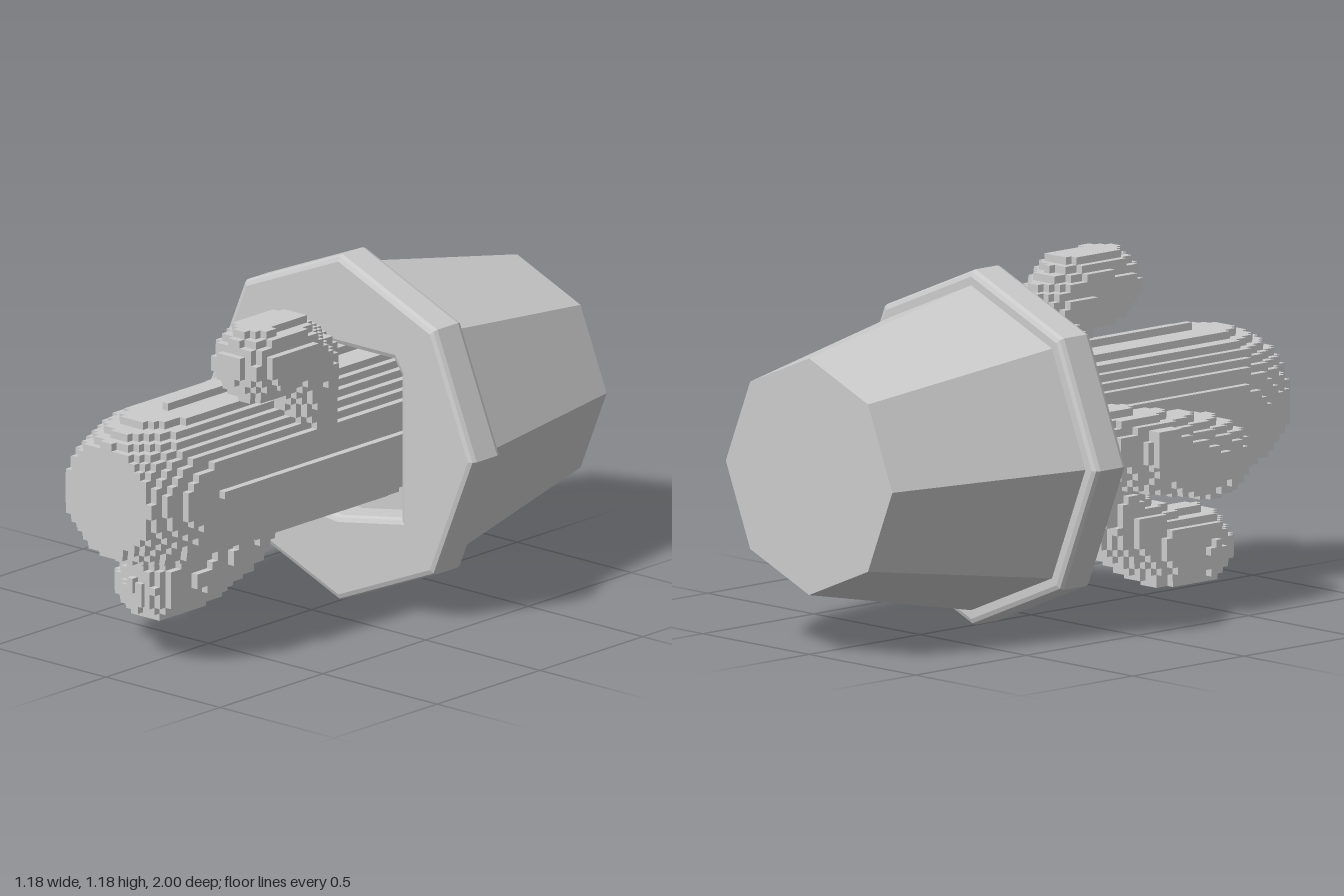
import * as THREE from 'three';

const CY = 0.59; // height of the pot's axis
const CELL = 0.025;

const material = new THREE.MeshStandardMaterial({ color: 0xcccccc, flatShading: true });

function addMesh(group, name, geometry) {
  const mesh = new THREE.Mesh(geometry, material);
  mesh.name = name;
  group.add(mesh);
  return mesh;
}

// Stepped solid: the exposed faces of all grid cells whose centre is inside
function steppedGeometry(min, max, inside) {
  const lo = min.map((v) => Math.round(v / CELL));
  const hi = max.map((v) => Math.round(v / CELL));
  const filled = (c) =>
    c.every((v, i) => v >= lo[i] && v < hi[i]) && inside(...c.map((v) => (v + 0.5) * CELL));
  const positions = [];
  for (let x = lo[0]; x < hi[0]; x++)
    for (let y = lo[1]; y < hi[1]; y++)
      for (let z = lo[2]; z < hi[2]; z++) {
        const cell = [x, y, z];
        if (!filled(cell)) continue;
        for (let axis = 0; axis < 3; axis++)
          for (const side of [-1, 1]) {
            const next = [...cell];
            next[axis] += side;
            if (filled(next)) continue;
            const u = (axis + 1) % 3, v = (axis + 2) % 3;
            const corner = (a, b) => {
              const p = [...cell];
              if (side > 0) p[axis]++;
              p[u] += a;
              p[v] += b;
              return p.map((n) => n * CELL);
            };
            const q = [corner(0, 0), corner(1, 0), corner(1, 1), corner(0, 1)];
            if (side < 0) q.reverse();
            for (const i of [0, 1, 2, 0, 2, 3]) positions.push(...q[i]);
          }
      }
  const geometry = new THREE.BufferGeometry();
  geometry.setAttribute('position', new THREE.Float32BufferAttribute(positions, 3));
  geometry.computeVertexNormals();
  return geometry;
}

// Stepped limb of constant radius following a bent path
function limbGeometry(points, radius) {
  const path = points.map((p) => new THREE.Vector3(...p));
  const box = new THREE.Box3().setFromPoints(path).expandByScalar(radius + CELL);
  const point = new THREE.Vector3(), near = new THREE.Vector3();
  const lines = path.slice(1).map((p, i) => new THREE.Line3(path[i], p));
  return steppedGeometry(box.min.toArray(), box.max.toArray(), (x, y, z) => {
    point.set(x, y, z);
    return lines.some(
      (line) => line.closestPointToPoint(point, true, near).distanceTo(point) < radius
    );
  });
}

export function createModel() {
  const model = new THREE.Group();
  model.name = 'pottedCactus';

  // Tapered eight-sided pot lying on its side, its front cap being the soil
  const pot = new THREE.CylinderGeometry(0.54, 0.392, 0.74, 8);
  pot.rotateX(Math.PI / 2);
  addMesh(model, 'pot', pot).position.set(0, CY, -0.63);

  // Bevelled rim with a squarish opening
  const octagon = [];
  for (let i = 0; i < 8; i++) {
    const a = (i * Math.PI) / 4;
    octagon.push(new THREE.Vector2(Math.cos(a) * 0.567, CY + Math.sin(a) * 0.567));
  }
  const rimShape = new THREE.Shape(octagon);
  const opening = [
    [-0.28, 0.36], [-0.28, 0.86], [-0.16, 0.89], [0.25, 0.89],
    [0.29, 0.83], [0.29, 0.32], [0, 0.27], [-0.22, 0.29],
  ];
  rimShape.holes.push(new THREE.Path(opening.map((p) => new THREE.Vector2(...p))));
  const rim = new THREE.ExtrudeGeometry(rimShape, {
    depth: 0.1, bevelThickness: 0.02, bevelSize: 0.02, bevelSegments: 2,
  });
  addMesh(model, 'potRim', rim).position.z = -0.25;

  // Main stem: a round column narrowing to a flat tip
  const stem = steppedGeometry([-0.3, 0.3, -0.3], [0.3, 0.9, 1], (x, y, z) => {
    const t = Math.max(0, z - 0.7) / 0.41;
    return Math.hypot(x - 0.005, y - 0.605) < 0.258 * Math.sqrt(1 - t * t);
  });
  addMesh(model, 'stem', stem);

  // Three bent arms
  addMesh(model, 'upperArm', limbGeometry(
    [[0.13, 0.78, 0.21], [0.17, 0.93, 0.25], [0.195, 1.005, 0.36], [0.2, 1.005, 0.5]], 0.125));
  addMesh(model, 'sideArm', limbGeometry(
    [[-0.2, 0.6, 0.02], [-0.32, 0.6, 0.02], [-0.355, 0.57, 0.18], [-0.33, 0.51, 0.48]], 0.13));
  addMesh(model, 'lowerArm', limbGeometry(
    [[-0.1, 0.42, 0.2], [-0.14, 0.29, 0.24], [-0.18, 0.2, 0.4], [-0.19, 0.19, 0.54]], 0.125));

  // Small buds on two of the arms
  const buds = [
    ['sideBud', [-0.475, 0.6, 0.15], [0.05, 0.12, 0.1]],
    ['upperBud', [0.3, 0.96, 0.46], [0.03, 0.07, 0.08]],
    ['lowerBud', [-0.19, 0.17, 0.655], [0.09, 0.08, 0.02]],
  ];
  for (const [name, position, size] of buds)
    addMesh(model, name, new THREE.BoxGeometry(...size)).position.set(...position);

  return model;
}
